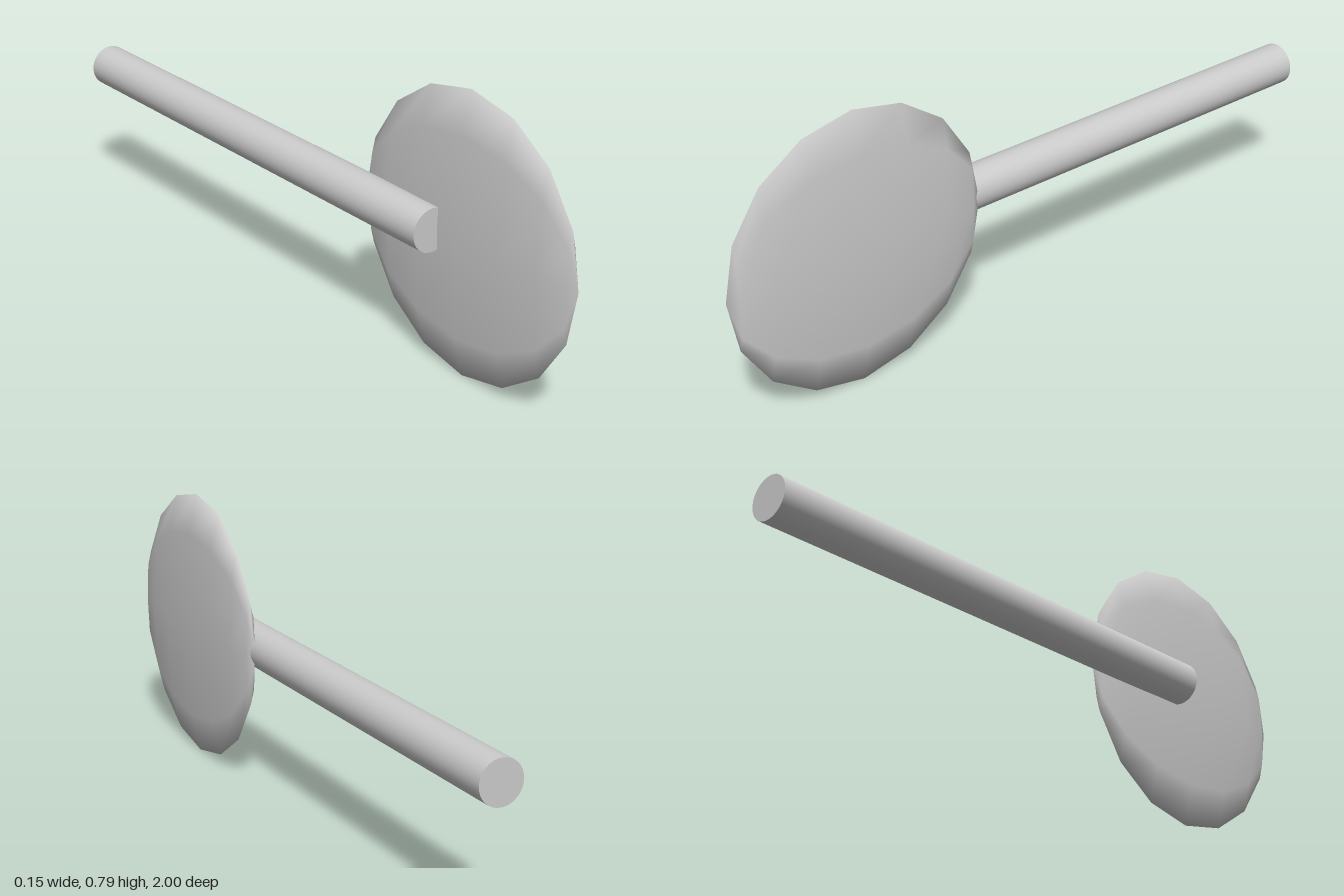
import * as THREE from 'three';

export function createModel() {
  const group = new THREE.Group();
  const material = new THREE.MeshStandardMaterial({ color: 0xcccccc });

  function add(name, geometry, x, y, z) {
    const mesh = new THREE.Mesh(geometry, material);
    mesh.name = name;
    mesh.position.set(x, y, z);
    group.add(mesh);
  }

  // Thin disc: a low-poly sphere with its poles along z, flattened in x
  const disc = new THREE.SphereGeometry(0.396, 8, 8);
  disc.rotateX(Math.PI / 2);
  disc.scale(0.1, 1, 1);
  add('disc', disc, 0.036, 0.4, 0.604);

  // Round handle running back from the side of the disc
  const handle = new THREE.CylinderGeometry(0.061, 0.061, 1.534, 32);
  handle.rotateX(Math.PI / 2);
  add('handle', handle, -0.018, 0.407, -0.233);

  return group;
}
